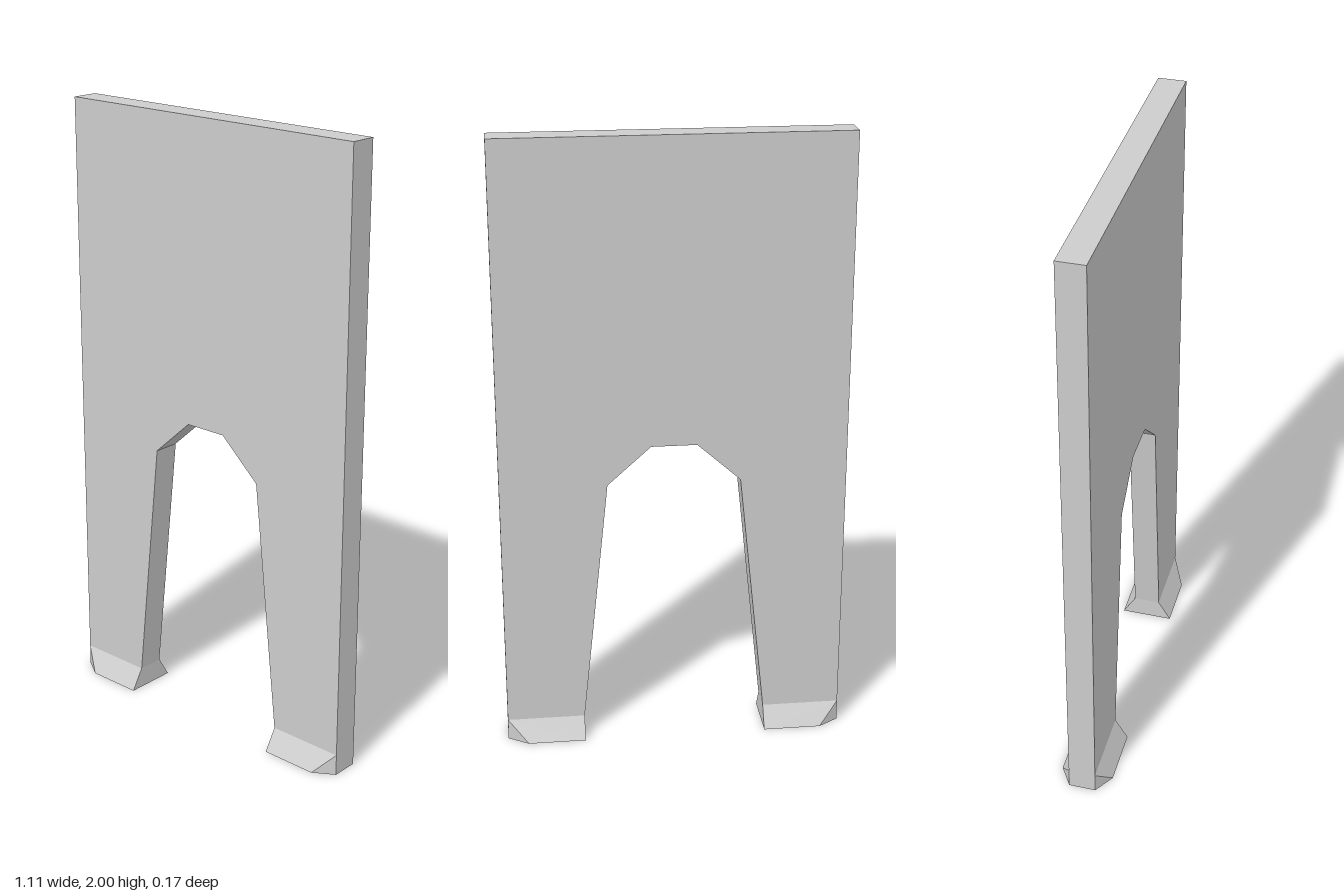
import * as THREE from 'three';
import { ConvexGeometry } from 'three/addons/geometries/ConvexGeometry.js';

const W = 0.553;      // half width of the plate
const T = 0.044;      // half thickness of the plate
const FLARE = 0.086;  // half depth of the feet at the ground
const FOOT = 0.07;    // height of the feet
const INNER = 0.299;  // inner edge of the feet

export function createModel() {
  const model = new THREE.Group();
  model.name = 'forkedPlate';
  const grey = new THREE.MeshStandardMaterial({ color: 0xcccccc });
  grey.name = 'light grey';

  // Flat plate with a faceted arch between two tapering legs
  const half = [[W, 2], [W, FOOT], [INNER, FOOT], [0.212, 0.895], [0.073, 1.02]];
  const outline = [...half, ...half.map(([x, y]) => [-x, y]).reverse()];
  const shape = new THREE.Shape(outline.map(([x, y]) => new THREE.Vector2(x, y)));
  const plateGeometry = new THREE.ExtrudeGeometry(shape, { depth: 2 * T, bevelEnabled: false });
  plateGeometry.translate(0, 0, -T);
  const plate = new THREE.Mesh(plateGeometry, grey);
  plate.name = 'plate';
  model.add(plate);

  // Feet flare to front and back, with the outer corners cut off
  for (const [name, side] of [['leftFoot', 1], ['rightFoot', -1]]) {
    const points = [];
    for (const front of [1, -1]) {
      const add = (x, y, z) => points.push(new THREE.Vector3(side * x, y, front * z));
      add(INNER, FOOT, T);
      add(W, FOOT, T);
      add(W, 0, T);
      add(0.487, 0, FLARE);
      add(INNER, 0, FLARE);
    }
    const foot = new THREE.Mesh(new ConvexGeometry(points), grey);
    foot.name = name;
    model.add(foot);
  }
  return model;
}
